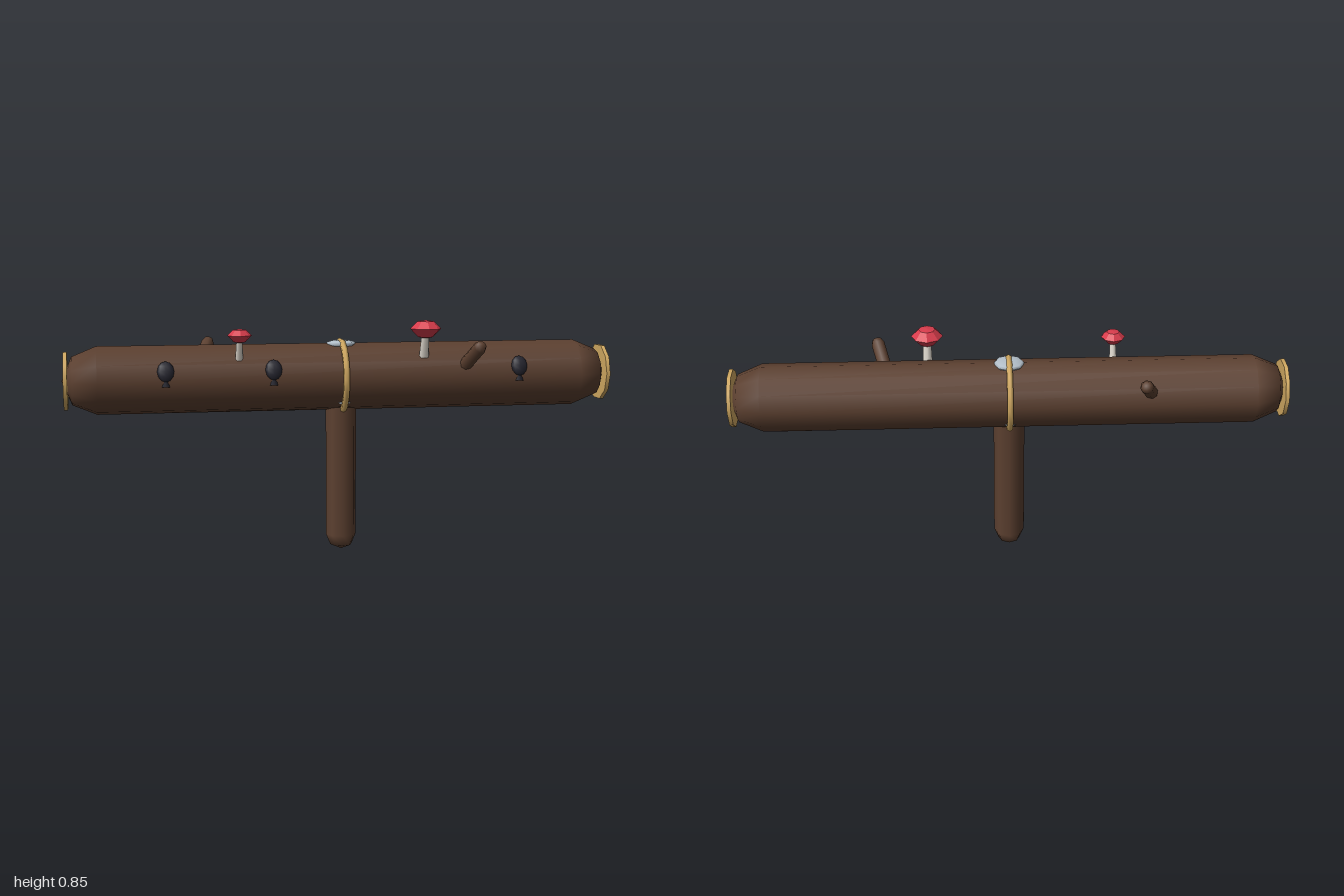
import * as THREE from 'three';

const mat = (name, color) => {
  const m = new THREE.MeshStandardMaterial({ color });
  m.name = name;
  return m;
};

export function createModel() {
  const bark = mat('bark brown', 0x5c4030);
  const wood = mat('cut wood gold', 0xd2aa62);
  const stone = mat('pale grey', 0xb4c0ca);
  const red = mat('cap red', 0xd83c4c);
  const ivory = mat('stem ivory', 0xd8d2c8);
  const knotDark = mat('knot dark', 0x24242e);

  const model = new THREE.Group();
  model.name = 'logOnPost';
  const add = (name, geometry, material, x, y, z, parent = model) => {
    const mesh = new THREE.Mesh(geometry, material);
    mesh.name = name;
    mesh.position.set(x, y, z);
    parent.add(mesh);
    return mesh;
  };
  const faceted = (geometry) => {
    const g = geometry.toNonIndexed();
    g.computeVertexNormals();
    return g;
  };
  // Aim a mesh's y axis from one point to another
  const between = (mesh, a, b) => {
    mesh.position.copy(a).lerp(b, 0.5);
    mesh.quaternion.setFromUnitVectors(new THREE.Vector3(0, 1, 0), b.clone().sub(a).normalize());
  };

  const Y = 0.645; // height of the log's axis

  // Log and upright post
  const log = add('log', new THREE.CapsuleGeometry(0.122, 1.756, 2, 12), bark, 0, Y, 0);
  log.rotation.z = Math.PI / 2;
  add('post', new THREE.CapsuleGeometry(0.056, 0.5, 2, 8), bark, 0, 0.309, 0);

  // Cut ends, with the core of the log just showing through
  for (const s of [-1, 1]) {
    const end = add('cutEnd', new THREE.CylinderGeometry(0.105, 0.105, 0.014, 10), wood, s * 0.9865, Y, 0);
    end.rotation.z = Math.PI / 2;
  }

  // Binding hoop round the middle
  const hoop = add('hoop', new THREE.TorusGeometry(0.129, 0.012, 6, 14), wood, 0, Y, 0);
  hoop.rotation.y = Math.PI / 2;

  // Flattened pads above and below the log
  const pad = new THREE.SphereGeometry(1, 8, 6);
  add('topPad', pad, stone, 0, 0.764, 0).scale.set(0.056, 0.014, 0.056);
  add('lowerPad', pad, stone, 0, 0.558, 0).scale.set(0.055, 0.014, 0.096);

  // Branch stubs, one on each side
  const stubs = [
    [new THREE.Vector3(0.435, 0.675, 0.08), new THREE.Vector3(0.475, 0.767, 0.197)],
    [new THREE.Vector3(-0.505, 0.675, -0.08), new THREE.Vector3(-0.465, 0.767, -0.197)],
  ];
  for (const [a, b] of stubs) {
    const length = a.distanceTo(b);
    between(add('branchStub', new THREE.CapsuleGeometry(0.024, length - 0.03, 2, 8), bark, 0, 0, 0), a, b);
  }

  // Mushrooms: leaning stem and faceted cap
  const capProfile = [[0, -0.036], [0.028, -0.03], [0.057, 0], [0.03, 0.026], [0, 0.03]]
    .map(([x, y]) => new THREE.Vector2(x, y));
  const capGeometry = faceted(new THREE.LatheGeometry(capProfile, 8));
  for (const [x, capY, size] of [[0.29, 0.823, 1], [-0.38, 0.807, 0.76]]) {
    const mushroom = new THREE.Group();
    mushroom.name = 'mushroom';
    model.add(mushroom);
    const base = new THREE.Vector3(x, 0.72, 0.086);
    const top = new THREE.Vector3(x, capY - 0.015, 0.111);
    const stem = add('mushroomStem',
      new THREE.CylinderGeometry(0.014 * size, 0.018 * size, base.distanceTo(top), 8), ivory, 0, 0, 0, mushroom);
    between(stem, base, top);
    add('mushroomCap', capGeometry, red, x, capY, 0.111, mushroom).scale.setScalar(size);
  }

  // Dark knots on the front, each with a small flared foot
  const knotGeometry = new THREE.SphereGeometry(1, 8, 6);
  const footGeometry = new THREE.CylinderGeometry(0.006, 0.016, 0.03, 6);
  for (const x of [-0.64, -0.26, 0.64]) {
    const knot = add('knot', knotGeometry, knotDark, x, 0.684, 0.114);
    knot.scale.set(0.03, 0.037, 0.014);
    knot.rotation.x = -0.28;
    add('knotFoot', footGeometry, knotDark, x, 0.645, 0.117).scale.z = 0.7;
  }

  return model;
}
